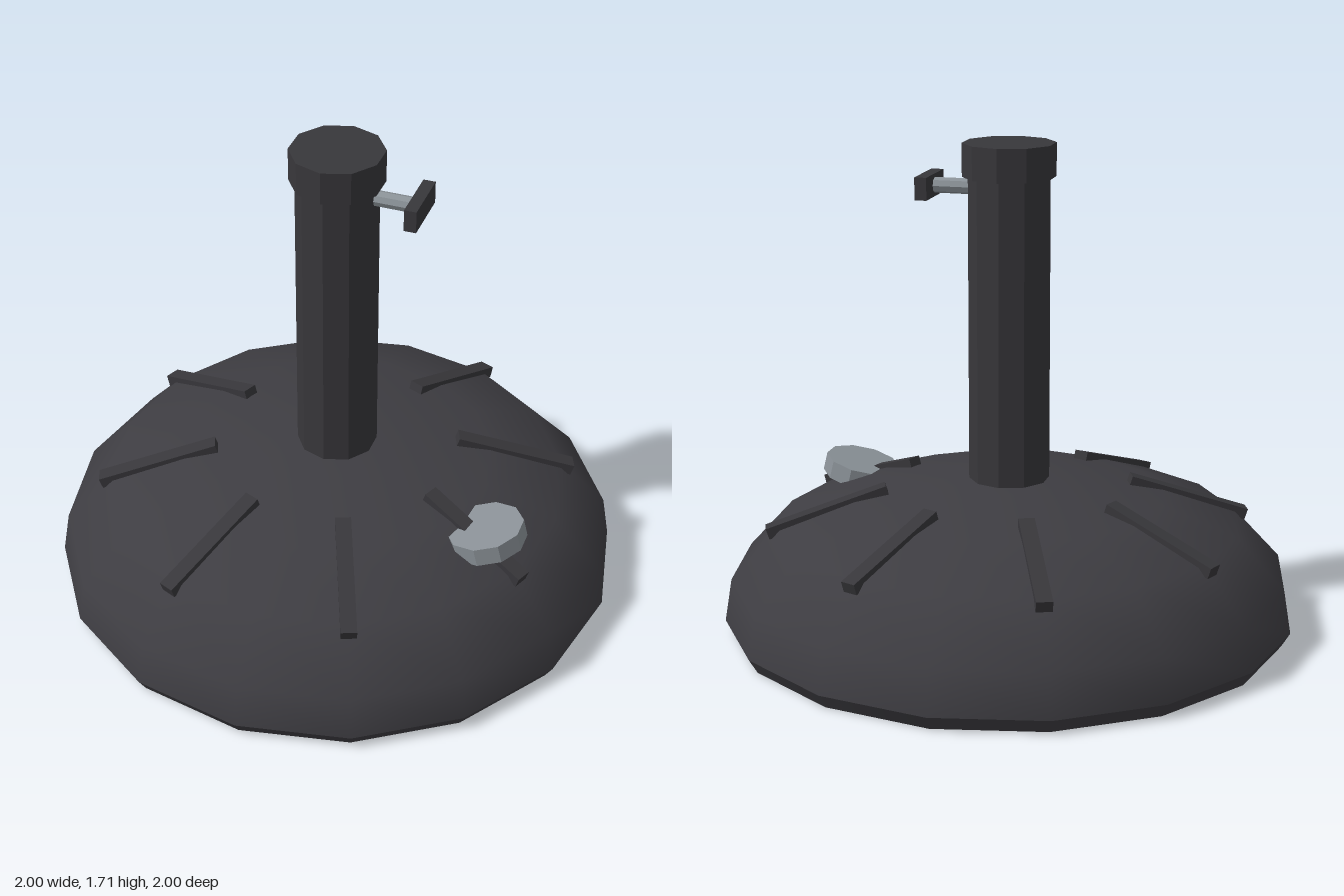
import * as THREE from 'three';

const mat = (name, color, flatShading = true) =>
  Object.assign(new THREE.MeshStandardMaterial({ color, flatShading }), { name });

export function createModel() {
  const model = new THREE.Group();
  model.name = 'parasolBase';

  const shell = mat('charcoal plastic', 0x3e3d42, false);
  const trim = mat('dark plastic', 0x38373b);
  const steel = mat('grey metal', 0x8b9298);

  const add = (name, geometry, material, parent = model) => {
    const mesh = new THREE.Mesh(geometry, material);
    mesh.name = name;
    parent.add(mesh);
    return mesh;
  };
  const lathe = (points) =>
    new THREE.LatheGeometry(points.map(([r, y]) => new THREE.Vector2(r, y)), 16);

  // Weighted base: smooth dome, bevelled rim and flat underside
  add('dome', lathe([[1, 0.05], [0.975, 0.2], [0.81, 0.38], [0.55, 0.472], [0.22, 0.535], [0, 0.535]]), shell);
  add('rim', lathe([[0.97, 0], [1, 0.05]]), shell);
  add('underside', lathe([[0, 0], [0.97, 0]]), shell);

  // Eight sloping ribs around the dome
  for (let i = 0; i < 8; i++) {
    const arm = new THREE.Group();
    arm.name = 'ribArm';
    arm.rotation.y = Math.PI / 8 + (i * Math.PI) / 4;
    const rib = add('rib', new THREE.BoxGeometry(0.44, 0.04, 0.055), trim, arm);
    rib.position.set(0.637, 0.437, 0);
    rib.rotation.z = -0.32;
    model.add(arm);
  }

  // Pole socket and cap
  add('pole', new THREE.CylinderGeometry(0.14, 0.14, 1.12, 10), trim).position.y = 1.05;
  add('cap', new THREE.CylinderGeometry(0.16, 0.16, 0.115, 10), trim).position.y = 1.65;

  // Clamp screw with its handle
  const screw = add('clampScrew', new THREE.CylinderGeometry(0.027, 0.027, 0.16, 8), steel);
  screw.position.set(0.19, 1.553, 0);
  screw.rotation.z = Math.PI / 2;
  add('clampHandle', new THREE.BoxGeometry(0.042, 0.078, 0.2), trim).position.set(0.283, 1.553, 0);

  // Tilted filler plug resting on the dome
  const plug = add('fillerPlug', new THREE.CylinderGeometry(0.135, 0.135, 0.065, 10), steel);
  plug.position.set(0.625, 0.449, 0.23);
  plug.rotation.z = 0.24;

  return model;
}
